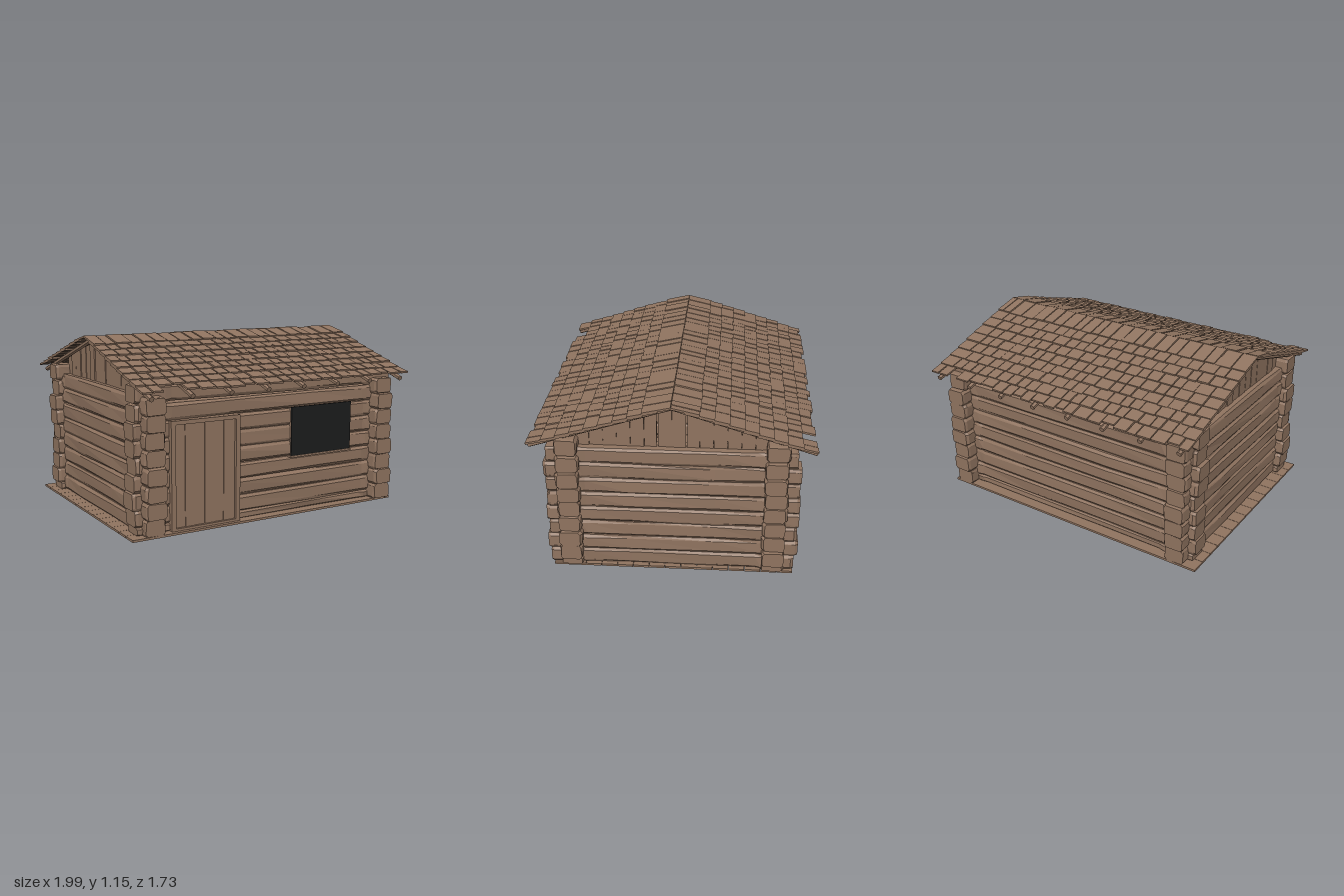
import * as THREE from 'three';

function material(name, color) {
  const m = new THREE.MeshStandardMaterial({ color, flatShading: true });
  m.name = name;
  return m;
}
const wood = material('weathered wood', 0x907460);
const shade = material('dark roof underside', 0x54453a);
const black = material('dark window', 0x1c1d1d);
// Box faces: +x, -x, top, bottom, +z, -z
const shingleFaces = [wood, wood, wood, shade, wood, wood];

let seed = 7;
const rand = () => (seed = (seed * 16807) % 2147483647) / 2147483647;
const jit = (a) => (rand() * 2 - 1) * a;

// Hewn log along x: chamfered cross-sections, thicker at the notched ends
function logGeometry(half, hw, hh) {
  const section = [[1, -0.68], [1, 0.68], [0.82, 1], [-0.82, 1], [-1, 0.68], [-1, -0.68], [-0.82, -1], [0.82, -1]];
  const s0 = half - 0.018, s1 = half - 0.2, s2 = half - 0.24;
  const stations = [[-half, 0.92], [-s0, 1], [-s1, 1], [-s2, 0.95], [-half / 3, 0.96], [half / 3, 0.96],
    [s2, 0.95], [s1, 1], [s0, 1], [half, 0.92]];
  const n = section.length, pos = [], idx = [];
  stations.forEach(([x, k]) => {
    const dy = jit(hh * 0.03), dz = jit(0.004);
    section.forEach(([z, y]) => pos.push(x, y * hh * k + dy + jit(hh * 0.05), z * hw * k + dz + jit(0.004)));
  });
  for (let i = 0; i < stations.length - 1; i++) {
    for (let j = 0; j < n; j++) {
      const a = i * n + j, b = i * n + (j + 1) % n;
      idx.push(a, a + n, b, a + n, b + n, b);
    }
  }
  const last = (stations.length - 1) * n;
  for (let j = 1; j < n - 1; j++) idx.push(0, j, j + 1, last, last + j + 1, last + j);
  const g = new THREE.BufferGeometry();
  g.setAttribute('position', new THREE.Float32BufferAttribute(pos, 3));
  g.setIndex(idx);
  g.computeVertexNormals();
  return g;
}

function add(parent, name, geometry, x = 0, y = 0, z = 0, mat = wood) {
  const m = new THREE.Mesh(geometry, mat);
  m.name = name;
  m.position.set(x, y, z);
  parent.add(m);
  return m;
}

const box = (w, h, d) => new THREE.BoxGeometry(w, h, d);

function group(parent, name) {
  const g = new THREE.Group();
  g.name = name;
  parent.add(g);
  return g;
}

const CX = 0.01;                                   // cabin centre in x
const RIDGE = 1.138, SLOPE = 0.317, ANGLE = Math.atan(SLOPE);
const roofY = (z) => RIDGE - SLOPE * Math.abs(z);  // underside of the shingles

export function createModel() {
  const cabin = new THREE.Group();
  cabin.name = 'logCabin';

  // Floor boards
  const floor = group(cabin, 'floor');
  const boards = 15, bw = 1.51 / boards;
  for (let i = 0; i < boards; i++) {
    add(floor, 'floorBoard', box(1.955, 0.014, bw - 0.002), -0.0225, 0.007, -0.76 + bw * (i + 0.5));
  }

  // Walls: side logs and front/back logs interlock half a log apart
  const walls = group(cabin, 'walls');
  for (const s of [-1, 1]) {
    for (let i = 0; i < 8; i++) {
      const m = add(walls, 'sideLog', logGeometry(0.77 + jit(0.015), 0.068, 0.053), CX + s * 0.86, 0.064 + i * 0.104, jit(0.006));
      m.rotation.y = Math.PI / 2;
    }
    add(walls, 'sillLog', logGeometry(0.955, 0.068, 0.024), CX, 0.038, s * 0.63);
    for (let i = 0; i < 8; i++) {
      const top = i === 7 ? 0.008 : 0;
      add(walls, 'longLog', logGeometry(0.97 + jit(0.015), 0.07, 0.053), CX + jit(0.006), 0.115 + i * 0.1045 + top, s * 0.63);
    }
  }

  // Gable boards cut to the roof slope, with a narrow slit either side of the centre
  const gables = group(cabin, 'gables');
  const count = 14, gw = 1.16 / count;
  for (const s of [-1, 1]) {
    for (let i = 0; i < count; i++) {
      const a = -0.58 + gw * i + (i === 8 ? 0.008 : 0.0006);
      const b = -0.58 + gw * (i + 1) - (i === 5 ? 0.008 : 0.0006);
      const shape = new THREE.Shape([
        new THREE.Vector2(a, 0.83), new THREE.Vector2(b, 0.83),
        new THREE.Vector2(b, roofY(b) - 0.002), new THREE.Vector2(a, roofY(a) - 0.002)]);
      const g = new THREE.ExtrudeGeometry(shape, { depth: 0.02, bevelEnabled: false });
      g.rotateY(-Math.PI / 2);
      add(gables, 'gableBoard', g, CX + s * 0.865 + 0.01 + jit(0.005));
    }
  }

  // Roof: rafters and overlapping rows of shingles on each slope
  const roof = group(cabin, 'roof');
  const rows = [0.17, 0.257, 0.343, 0.43, 0.516, 0.6, 0.685, 0.772, 0.86];
  for (const s of [-1, 1]) {
    const slope = group(roof, s > 0 ? 'frontSlope' : 'backSlope');
    for (let i = 0; i < 8; i++) {
      const g = new THREE.CylinderGeometry(0.017, 0.017, 0.9, 6);
      g.rotateX(Math.PI / 2);
      const m = add(slope, 'rafter', g, -0.92 + i * 0.263, roofY(0.43) - 0.015, s * 0.43);
      m.rotation.x = s * ANGLE;
    }
    rows.forEach((zEnd, r) => {
      const eave = r === rows.length - 1;
      let x = -0.98;
      while (x < 0.985) {
        let w = 0.062 + rand() * 0.05;
        if (x + w > 0.94) w = 0.988 - x;
        const end = zEnd - (eave && rand() < 0.2 ? 0.02 : rand() * 0.006);
        const start = Math.max(0.002, zEnd - 0.178);
        const mid = (start + end) / 2, len = (end - start) / Math.cos(ANGLE);
        const missing = eave && Math.abs(x + w / 2 + s * 0.77) < 0.05;
        if (!missing) {
          const m = add(slope, 'shingle', box(w - 0.007, 0.012, len), x + w / 2, roofY(mid) + 0.014 + jit(0.003), s * mid, shingleFaces);
          m.rotation.x = s * (ANGLE - 0.085);
        }
        x += w;
      }
    });
  }

  // Plank door in a frame
  const door = group(cabin, 'door');
  for (const x of [-0.715, -0.265]) add(door, 'doorPost', box(0.03, 0.67, 0.07), x, 0.352, 0.69);
  add(door, 'doorLintel', box(0.48, 0.025, 0.07), -0.49, 0.676, 0.69);
  add(door, 'doorSill', box(0.48, 0.015, 0.07), -0.49, 0.022, 0.69);
  const edges = [-0.7, -0.63, -0.563, -0.495, -0.432, -0.362, -0.292, -0.28];
  for (let i = 0; i < edges.length - 1; i++) {
    const w = edges[i + 1] - edges[i];
    add(door, 'doorPlank', box(w - 0.001, 0.635, 0.05), edges[i] + w / 2, 0.347, 0.682 + (i % 2) * 0.004);
  }

  // Window with a timber backing and sill
  const win = group(cabin, 'window');
  add(win, 'windowPane', box(0.48, 0.318, 0.008), 0.38, 0.541, 0.715, black);
  add(win, 'windowBacking', box(0.47, 0.305, 0.05), 0.38, 0.54, 0.685);
  add(win, 'windowSill', box(0.49, 0.012, 0.06), 0.38, 0.376, 0.695);

  return cabin;
}
